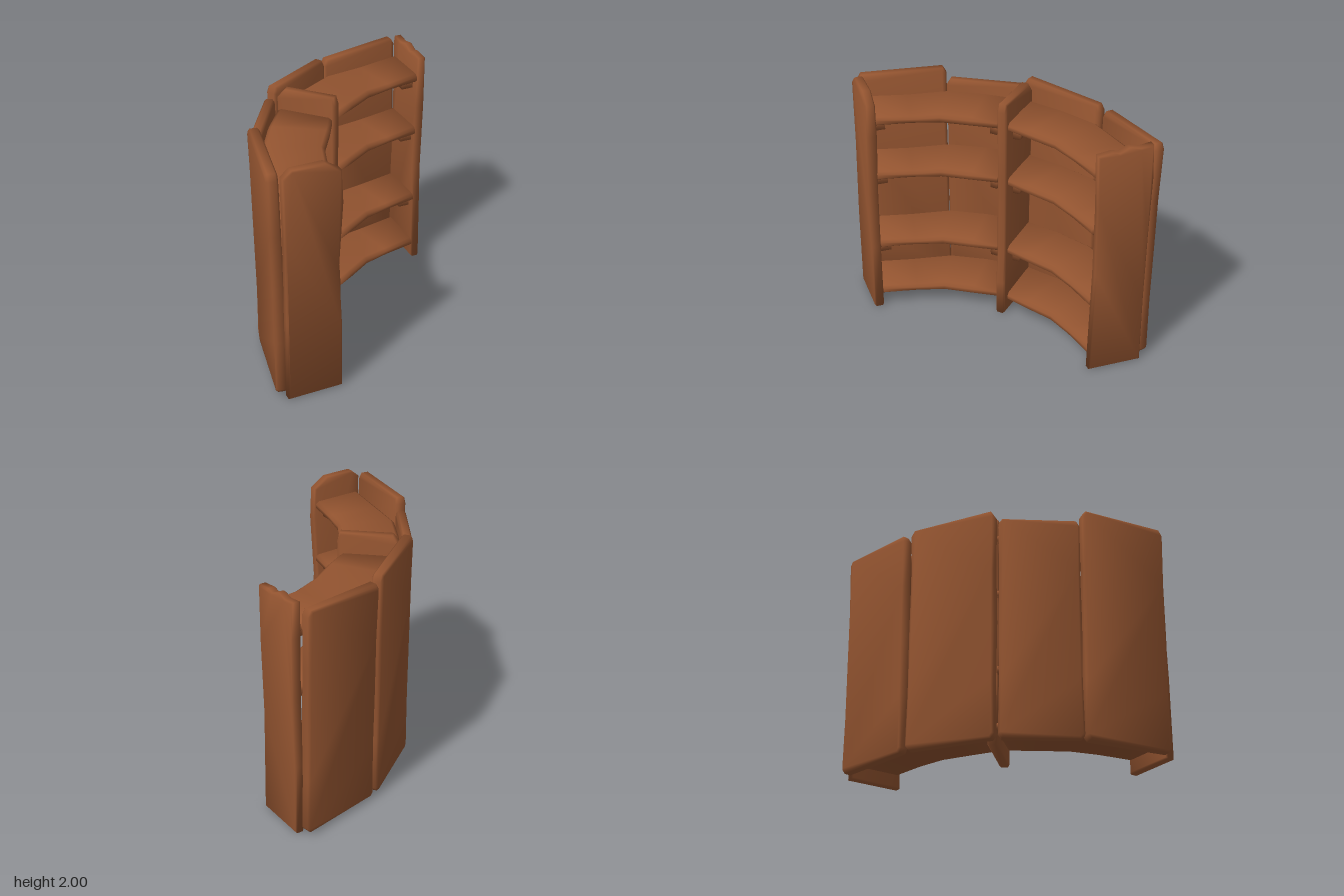
import * as THREE from 'three';
import { mergeVertices } from 'three/addons/utils/BufferGeometryUtils.js';

const wood = new THREE.MeshStandardMaterial({ color: 0x935430 });
wood.name = 'brown wood';

// Share vertices and average the face normals evenly, so worn edges shade softly
function soften(geometry) {
  geometry.deleteAttribute('uv');
  geometry.deleteAttribute('normal');
  const welded = mergeVertices(geometry, 1e-4);
  const pos = welded.attributes.position, index = welded.index;
  const sums = Array.from({ length: pos.count }, () => new THREE.Vector3());
  const tri = new THREE.Triangle(), normal = new THREE.Vector3();
  for (let i = 0; i < index.count; i += 3) {
    const corners = [0, 1, 2].map((k) => index.getX(i + k));
    tri.setFromAttributeAndIndices(pos, ...corners);
    tri.getNormal(normal);
    corners.forEach((c) => sums[c].add(normal));
  }
  welded.setAttribute('normal', new THREE.Float32BufferAttribute(sums.flatMap((s) => s.normalize().toArray()), 3));
  return welded;
}

// Upright plank from floor point p0 to p1 ([x, z]); outline is [distance along, height]
function plank(name, p0, p1, thickness, outline, bevel, bend) {
  const shape = new THREE.Shape(outline.map(([u, y]) => new THREE.Vector2(u, y)));
  const geometry = new THREE.ExtrudeGeometry(shape, {
    depth: thickness - 2 * bevel, steps: 1, bevelEnabled: true,
    bevelThickness: bevel, bevelSize: bevel, bevelOffset: -bevel, bevelSegments: 1,
  });
  geometry.translate(0, 0, bevel - thickness / 2);
  const pos = geometry.attributes.position;
  for (let i = 0; i < pos.count; i++) pos.setZ(i, pos.getZ(i) + bend(pos.getY(i)));
  geometry.rotateY(Math.atan2(p0[1] - p1[1], p1[0] - p0[0]));
  geometry.translate(p0[0], 0, p0[1]);
  const mesh = new THREE.Mesh(soften(geometry), wood);
  mesh.name = name;
  return mesh;
}

// Back board outline with clipped corners and slightly wavy sides
function boardOutline(w, topA, topB) {
  return [[0.03, 0.022], [w - 0.03, 0.022], [w, 0.06], [w - 0.008, 0.5], [w - 0.003, 1.0],
    [w - 0.008, 1.45], [w, topB - 0.05], [w - 0.03, topB], [0.03, topA], [0, topA - 0.05],
    [0.006, 1.45], [0, 1.0], [0.008, 0.5], [0, 0.06]];
}

// Shelf plan stations for the right bay: inner x, z, outer x, z, height offset
const stations = [
  [0.0, -0.07, -0.34, -0.39, 0],
  [0.18, -0.17, -0.08, -0.575, 0.004],
  [0.4, -0.31, 0.2, -0.735, 0.002],
  [0.62, -0.38, 0.53, -0.815, -0.008],
  [0.9, -0.43, 0.9, -0.87, 0],
];
// Shelf section: fraction from inner to outer edge, fraction of half thickness
const section = [[0, -0.45], [0, 0.45], [0.06, 1], [0.94, 1], [1, 0.45], [1, -0.45], [0.94, -1], [0.06, -1]];

function shelf(name, y, mirrored) {
  const positions = [], index = [];
  const n = section.length, last = (stations.length - 1) * n;
  const tri = (a, b, c) => (mirrored ? index.push(a, c, b) : index.push(a, b, c));
  stations.forEach(([ix, iz, ox, oz, dy], i) => {
    const half = 0.037 - (i === 3 ? 0.008 : 0);
    for (const [s, h] of section) {
      const x = ix + (ox - ix) * s, z = iz + (oz - iz) * s;
      positions.push(mirrored ? z : x, y + dy + h * half, mirrored ? x : z);
    }
  });
  for (let i = 0; i < stations.length - 1; i++) {
    for (let j = 0; j < n; j++) {
      const a = i * n + j, b = i * n + (j + 1) % n;
      tri(a, a + n, b + n);
      tri(a, b + n, b);
    }
  }
  for (let j = 1; j < n - 1; j++) {
    tri(0, j, j + 1);
    tri(last, last + j + 1, last + j);
  }
  const geometry = new THREE.BufferGeometry();
  geometry.setAttribute('position', new THREE.Float32BufferAttribute(positions, 3));
  geometry.setIndex(index);
  const mesh = new THREE.Mesh(soften(geometry), wood);
  mesh.name = name;
  return mesh;
}

// Small support strip under a shelf end
function cleat(name, p0, p1, thickness, y, mirrored) {
  const [a, b] = mirrored ? [[p0[1], p0[0]], [p1[1], p1[0]]] : [p0, p1];
  const dx = b[0] - a[0], dz = b[1] - a[1];
  const mesh = new THREE.Mesh(soften(new THREE.BoxGeometry(Math.hypot(dx, dz), 0.075, thickness)), wood);
  mesh.position.set((a[0] + b[0]) / 2, y, (a[1] + b[1]) / 2);
  mesh.rotation.y = Math.atan2(-dz, dx);
  mesh.name = name;
  return mesh;
}

export function createModel() {
  const group = new THREE.Group();
  group.name = 'curvedBookshelf';

  // End and middle uprights
  group.add(plank('rightUpright', [-0.88, 0.937], [-0.42, 0.937], 0.08,
    [[0, 0], [0.45, 0], [0.45, 0.6], [0.43, 1.1], [0.468, 1.65], [0.455, 1.92], [0.33, 2], [0.07, 2], [0, 1.94],
      [0.006, 1.4], [0, 0.7]], 0.012, (y) => 0.008 - 0.007 * y + 0.004 * Math.sin(3 * y)));
  group.add(plank('middleUpright', [-0.36, -0.36], [0, 0], 0.08,
    [[0, 0], [0.505, 0], [0.5, 0.3], [0.475, 0.6], [0.48, 1.3], [0.485, 1.9], [0.465, 1.97], [0.05, 1.975],
      [-0.01, 1.9], [0, 1.2], [0.01, 0.5]], 0.014, (y) => 0.004 * Math.sin(3 * y)));
  group.add(plank('leftUpright', [0.935, -0.43], [0.935, -0.88], 0.075,
    [[-0.005, 0], [0.44, 0], [0.44, 0.6], [0.44, 1.2], [0.45, 1.7], [0.44, 1.98], [0.34, 1.965], [0.25, 1.985],
      [0.17, 1.95], [0.12, 1.965], [0, 1.95], [0.01, 1.5], [0.015, 0.9]], 0.012, (y) => 0.008 * Math.sin(3 * y - 3)));

  // Back boards around the outside of the curve
  const boards = [
    [[-0.92, 0.915], [-0.785, 0.195], 0.09, 1.965, 1.985],
    [[-0.785, 0.19], [-0.435, -0.36], 0.08, 1.89, 1.9],
    [[-0.425, -0.375], [0.185, -0.785], 0.088, 1.975, 1.94],
    [[0.21, -0.8], [0.92, -0.93], 0.088, 1.915, 1.94],
  ];
  boards.forEach(([p0, p1, t, topA, topB], i) => {
    const w = Math.hypot(p1[0] - p0[0], p1[1] - p0[1]);
    const lean = i === 0 || i === 3 ? 0.016 : 0.005;
    group.add(plank('backBoard' + (i + 1), p0, p1, t, boardOutline(w, topA, topB), 0.016,
      (y) => -lean * (y - 1) - 0.004 * Math.cos(3 * y)));
  });

  // Four shelf levels in two mirrored bays, with cleats under the upper three
  [0.147, 0.615, 1.27, 1.767].forEach((y, level) => {
    for (const mirrored of [false, true]) {
      const bay = (mirrored ? 'right' : 'left') + 'Bay';
      group.add(shelf(bay + 'Shelf' + (level + 1), y, mirrored));
      if (level === 0) continue;
      group.add(cleat(bay + 'InnerCleat' + level, [-0.27, -0.385], [0.005, -0.14], 0.06, y - 0.072, mirrored));
      group.add(cleat(bay + 'OuterCleat' + level, [0.85, -0.5], [0.85, -0.8], 0.1, y - 0.072, mirrored));
    }
  });
  return group;
}
